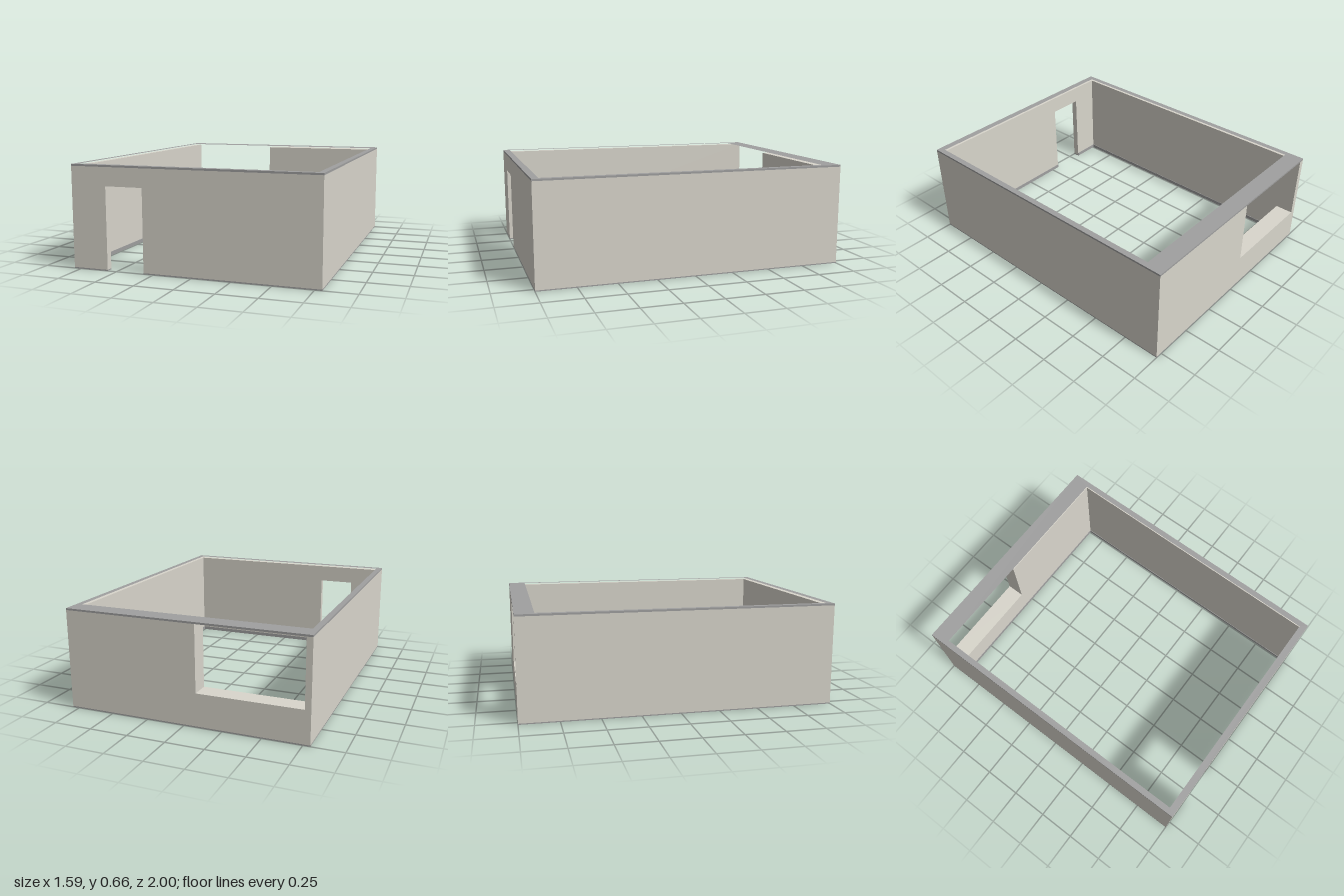
import * as THREE from 'three';

// Outer and inner extents of the open room
const X = 0.795, XI = 0.757, Z = 1, ZB = -0.88, ZF = 0.955;
const BASE = 0.007, TOP = 0.648, H = 0.66;
const DOOR = { l: -0.56, r: -0.313, top: 0.53 };
const WINDOW = { l: -XI, r: -0.083, sill: 0.22 };

export function createModel() {
  const model = new THREE.Group();
  const wallMat = new THREE.MeshStandardMaterial({ color: 0xd9d6cc });
  const trimMat = new THREE.MeshStandardMaterial({ color: 0xa0a0a0 });

  const add = (name, geometry, material) => {
    const mesh = new THREE.Mesh(geometry, material);
    mesh.name = name;
    model.add(mesh);
  };
  const box = (name, x0, x1, y0, y1, z0, z1, material) => add(name,
    new THREE.BoxGeometry(x1 - x0, y1 - y0, z1 - z0)
      .translate((x0 + x1) / 2, (y0 + y1) / 2, (z0 + z1) / 2), material);
  const outline = (points) => new THREE.Shape(points.map(([x, y]) => new THREE.Vector2(x, y)));

  // Wall cut from an outline in x, y and extruded between two depths
  const wall = (name, points, z0, z1) => add(name,
    new THREE.ExtrudeGeometry(outline(points), { depth: z1 - z0, bevelEnabled: false })
      .translate(0, 0, z0), wallMat);

  // Flat plate from a plan in x, z
  const plate = (name, points, y0, y1, hole) => {
    const shape = outline(points.map(([x, z]) => [x, -z]));
    if (hole) shape.holes.push(new THREE.Path(hole.map(([x, z]) => new THREE.Vector2(x, -z))));
    add(name, new THREE.ExtrudeGeometry(shape, { depth: y1 - y0, bevelEnabled: false })
      .rotateX(-Math.PI / 2).translate(0, y0, 0), trimMat);
  };

  // Side walls
  box('leftWall', XI, X, BASE, TOP, -Z, Z, wallMat);
  box('rightWall', -X, -XI, BASE, TOP, -Z, Z, wallMat);

  // Front wall with doorway
  wall('frontWall', [[-XI, BASE], [DOOR.l, BASE], [DOOR.l, DOOR.top], [DOOR.r, DOOR.top],
    [DOOR.r, BASE], [XI, BASE], [XI, TOP], [-XI, TOP]], ZF, Z);

  // Thick back wall, its window reaching up to the cap and across to the side wall
  wall('backWall', [[-XI, BASE], [XI, BASE], [XI, TOP], [WINDOW.r, TOP],
    [WINDOW.r, WINDOW.sill], [WINDOW.l, WINDOW.sill]], -Z, ZB);

  // Cap around the top of all walls
  plate('topCap', [[-X, -Z], [X, -Z], [X, Z], [-X, Z]], TOP, H,
    [[-XI, ZB], [XI, ZB], [XI, ZF], [-XI, ZF]]);

  // Sole plate under the walls, open at the doorway
  plate('solePlate', [[DOOR.l, Z], [-X, Z], [-X, -Z], [X, -Z], [X, Z], [DOOR.r, Z],
    [DOOR.r, ZF], [XI, ZF], [XI, ZB], [-XI, ZB], [-XI, ZF], [DOOR.l, ZF]], 0, BASE);

  // Thin skirting along the inside of the walls
  const T = 0.003, S = 0.025;
  box('backSkirting', -XI, XI, 0, S, ZB, ZB + T, trimMat);
  box('leftSkirting', XI - T, XI, 0, S, ZB + T, ZF, trimMat);
  box('rightSkirting', -XI, -XI + T, 0, S, ZB + T, ZF, trimMat);
  box('frontSkirtingRight', -XI + T, DOOR.l, 0, S, ZF - T, ZF, trimMat);
  box('frontSkirtingLeft', DOOR.r, XI - T, 0, S, ZF - T, ZF, trimMat);

  return model;
}
